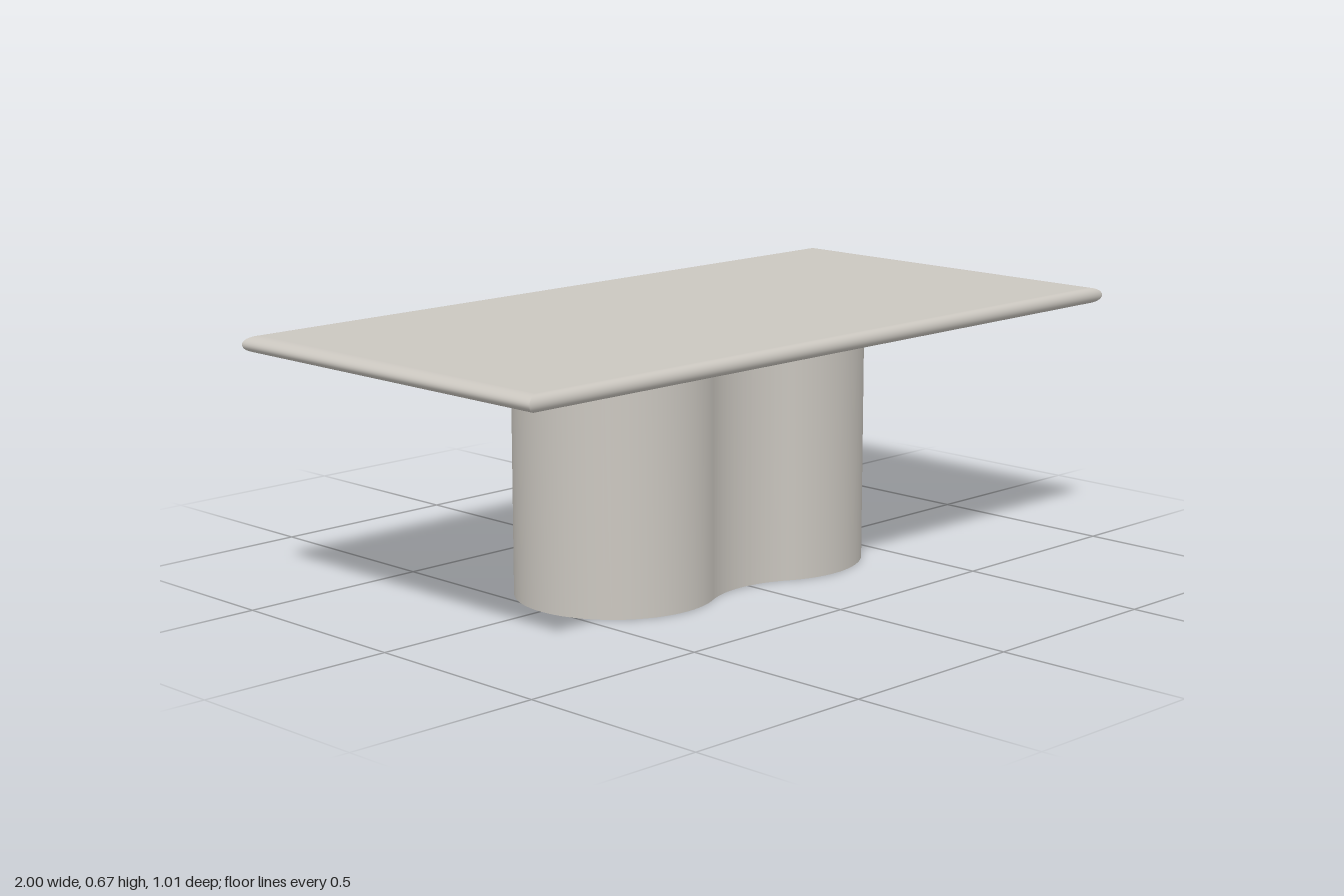
import * as THREE from 'three';
import { toCreasedNormals } from 'three/addons/utils/BufferGeometryUtils.js';

// Rectangular slab with bullnosed sides that meet in mitred corners
function bullnoseSlab(width, height, depth, roundX, roundZ) {
  const geo = new THREE.BoxGeometry(width, height, depth, 1, 16, 1);
  const pos = geo.attributes.position;
  for (let i = 0; i < pos.count; i++) {
    const angle = (pos.getY(i) / height) * Math.PI;
    const inset = 1 - Math.cos(angle);
    const x = pos.getX(i), z = pos.getZ(i);
    pos.setXYZ(i,
      x - Math.sign(x) * roundX * inset,
      (height / 2) * Math.sin(angle),
      z - Math.sign(z) * roundZ * inset);
  }
  geo.computeVertexNormals();
  return geo;
}

// Two round lobes joined by tangent concave arcs
function peanutShape(left, leftR, right, rightR, waistR) {
  const span = right - left;
  const dl = leftR + waistR, dr = rightR + waistR;
  const along = (dl * dl - dr * dr + span * span) / (2 * span);
  const ax = left + along;
  const ay = Math.sqrt(dl * dl - along * along);
  const tr = Math.atan2(ay, ax - right);
  const tl = Math.atan2(ay, ax - left);
  const shape = new THREE.Shape();
  shape.absarc(right, 0, rightR, -tr, tr, false);
  shape.absarc(ax, ay, waistR, tr + Math.PI, tl + Math.PI, true);
  shape.absarc(left, 0, leftR, tl, 2 * Math.PI - tl, false);
  shape.absarc(ax, -ay, waistR, Math.PI - tl, Math.PI - tr, true);
  return shape;
}

export function createModel() {
  const stone = new THREE.MeshStandardMaterial({ color: 0xcbc7c0 });
  stone.name = 'warm grey stone';
  const group = new THREE.Group();
  group.name = 'table';

  // Table top
  const top = new THREE.Mesh(bullnoseSlab(2, 0.04, 1.01, 0.035, 0.02), stone);
  top.name = 'tableTop';
  top.position.y = 0.648;
  group.add(top);

  // Pedestal, rising just into the top
  const column = new THREE.ExtrudeGeometry(
    peanutShape(-0.27, 0.25, 0.24, 0.265, 0.27),
    { depth: 0.632, bevelEnabled: false, curveSegments: 32 });
  column.rotateX(-Math.PI / 2);
  const pedestal = new THREE.Mesh(toCreasedNormals(column, 0.6), stone);
  pedestal.name = 'pedestal';
  group.add(pedestal);

  return group;
}
